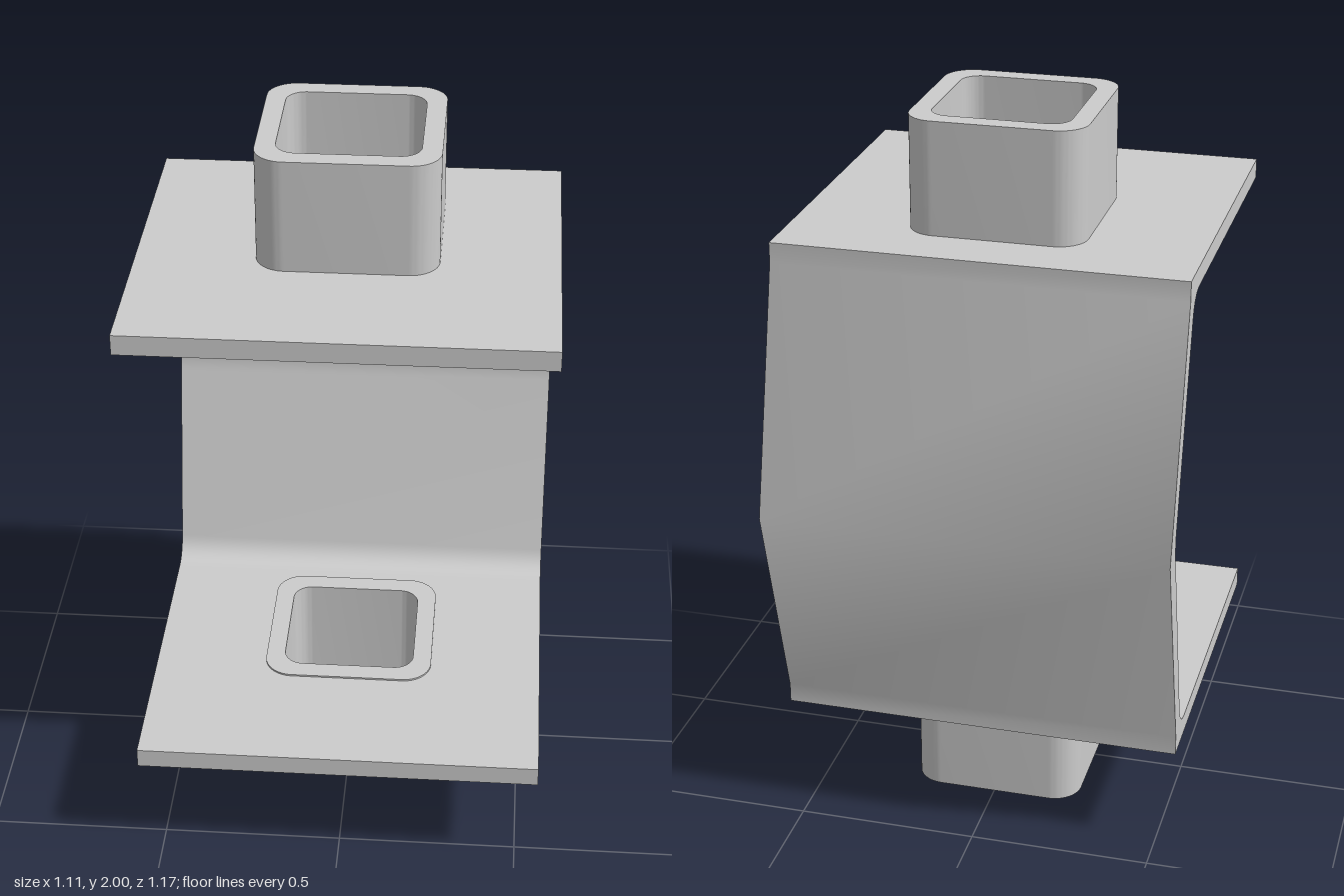
import * as THREE from 'three';
import { toCreasedNormals } from 'three/addons/utils/BufferGeometryUtils.js';

const HALF_WIDTH = 0.555;
const FRONT = 0.585;
const SEAM = -0.29; // where the flat plates meet the bent web
const TUBE_Z = -0.0175;

// Rounded rectangle traced on a Shape or Path
function roundedRect(path, cx, cy, hw, hh, r) {
  const corners = [[1, 1, 0], [-1, 1, 1], [-1, -1, 2], [1, -1, 3]];
  for (const [sx, sy, q] of corners) {
    path.absarc(cx + sx * (hw - r), cy + sy * (hh - r), r, q * Math.PI / 2, (q + 1) * Math.PI / 2, false);
  }
  path.closePath();
  return path;
}

function extrude(shape, depth) {
  return new THREE.ExtrudeGeometry(shape, { depth, bevelEnabled: false, curveSegments: 10 });
}

// Extrudes an x/z outline vertically between two heights
function slab(shape, bottom, top) {
  return extrude(shape, top - bottom).rotateX(Math.PI / 2).translate(0, top, 0);
}

export function createModel() {
  const group = new THREE.Group();
  const material = new THREE.MeshStandardMaterial({ color: 0xcccccc });
  const add = (name, geometry) => {
    const mesh = new THREE.Mesh(toCreasedNormals(geometry, 0.6), material);
    mesh.name = name;
    group.add(mesh);
  };

  // Bent back web with filleted inner corners, profile in z/y
  const web = new THREE.Shape();
  web.moveTo(SEAM, 0.31);
  web.lineTo(SEAM, 0.365);
  web.quadraticCurveTo(-0.355, 0.365, -0.372, 0.425);
  web.lineTo(-0.503, 0.94);
  web.quadraticCurveTo(-0.522, 1.0, -0.503, 1.06);
  web.lineTo(-0.372, 1.575);
  web.quadraticCurveTo(-0.355, 1.635, SEAM, 1.635);
  web.lineTo(SEAM, 1.69);
  web.lineTo(-0.415, 1.69);
  web.lineTo(-0.415, 1.635);
  web.lineTo(-0.582, 0.97);
  web.lineTo(-0.415, 0.365);
  web.lineTo(-0.415, 0.31);
  web.closePath();
  add('backWeb', extrude(web, 2 * HALF_WIDTH).rotateY(-Math.PI / 2).translate(HALF_WIDTH, 0, 0));

  // Flat plates, each with a square opening for its tube
  const plate = new THREE.Shape();
  plate.moveTo(-HALF_WIDTH, SEAM);
  plate.lineTo(HALF_WIDTH, SEAM);
  plate.lineTo(HALF_WIDTH, FRONT);
  plate.lineTo(-HALF_WIDTH, FRONT);
  plate.closePath();
  plate.holes.push(roundedRect(new THREE.Path(), 0, TUBE_Z, 0.24, 0.2425, 0.08));
  add('lowerPlate', slab(plate, 0.31, 0.365));
  add('upperPlate', slab(plate, 1.635, 1.69));

  // Hollow square tubes passing just through the plates
  const tube = roundedRect(new THREE.Shape(), 0, TUBE_Z, 0.24, 0.2425, 0.08);
  tube.holes.push(roundedRect(new THREE.Path(), 0, TUBE_Z, 0.187, 0.1875, 0.055));
  add('lowerTube', slab(tube, 0, 0.37));
  add('upperTube', slab(tube, 1.63, 2));

  return group;
}
